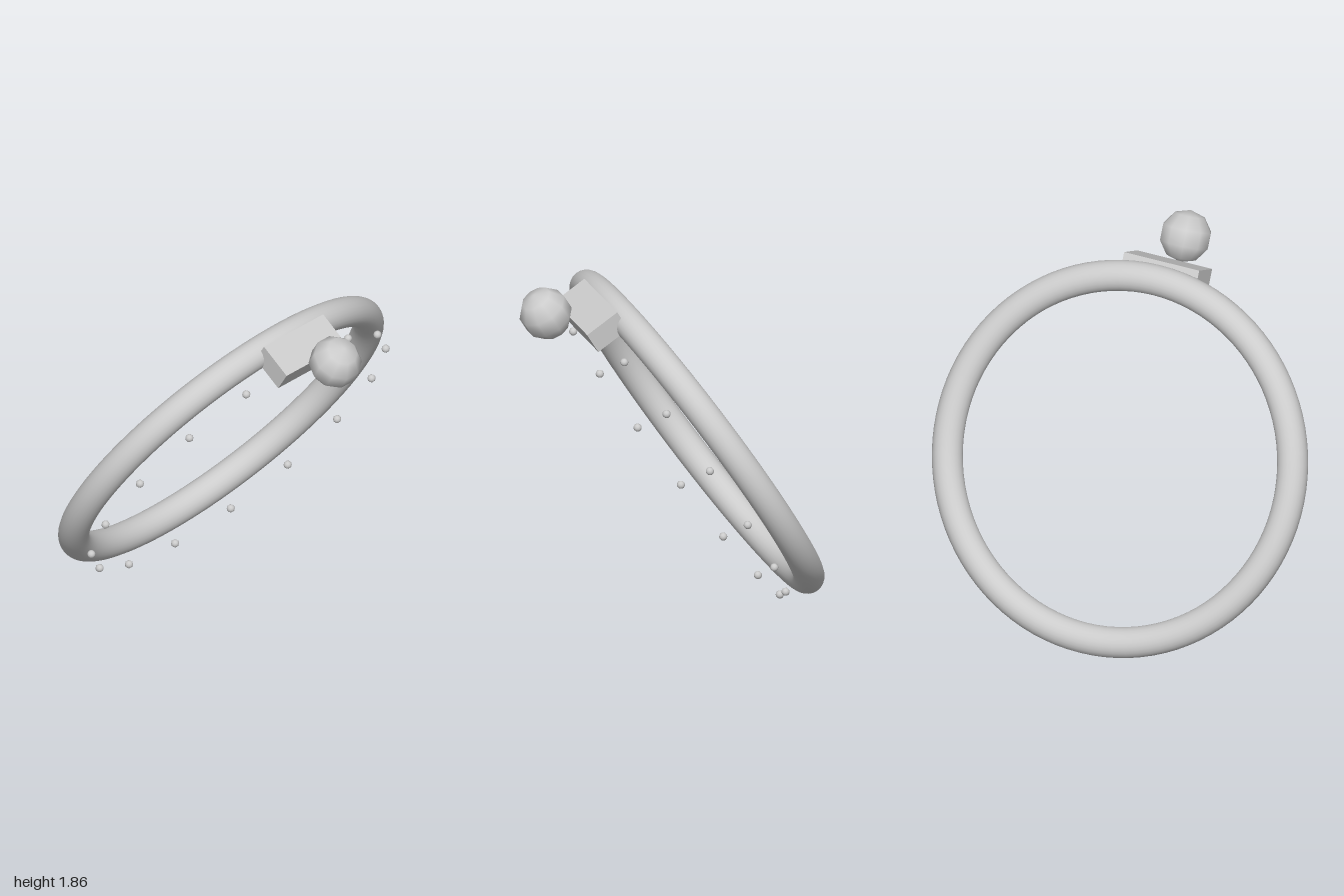
import * as THREE from 'three';

const material = new THREE.MeshStandardMaterial({ color: 0xcccccc });
const RING_RADIUS = 0.922;
const TUBE_RADIUS = 0.078;
const BEAD_OFFSET = 0.147;
const BEAD_COUNT = 16;

function addPart(parent, name, geometry, x, y, z) {
  const mesh = new THREE.Mesh(geometry, material);
  mesh.name = name;
  mesh.position.set(x, y, z);
  parent.add(mesh);
  return mesh;
}

export function createModel() {
  const model = new THREE.Group();
  model.name = 'beadedRing';

  // Everything sits in the ring's plane, leaning forward by 30 degrees
  const tilted = new THREE.Group();
  tilted.name = 'tiltedRing';
  tilted.position.set(0, 0.892, -0.208);
  tilted.rotation.x = Math.PI / 6;
  model.add(tilted);

  // Main hoop
  addPart(tilted, 'hoop', new THREE.TorusGeometry(RING_RADIUS, TUBE_RADIUS, 24, 96), 0, 0, 0);

  // Circle of small beads floating in front of the hoop
  const beads = new THREE.Group();
  beads.name = 'beads';
  tilted.add(beads);
  const beadGeometry = new THREE.SphereGeometry(0.021, 10, 6);
  for (let i = 0; i < BEAD_COUNT; i++) {
    const a = (i / BEAD_COUNT) * Math.PI * 2;
    addPart(beads, 'bead', beadGeometry, RING_RADIUS * Math.cos(a), RING_RADIUS * Math.sin(a), BEAD_OFFSET);
  }

  // Block at the top of the hoop
  addPart(tilted, 'mountBlock', new THREE.BoxGeometry(0.41, 0.123, 0.19), 0, 0.956, 0.116);

  // Faceted ball floating in front of the block
  addPart(tilted, 'ball', new THREE.SphereGeometry(0.134, 10, 5), 0, 1.135, 0.302);

  return model;
}
